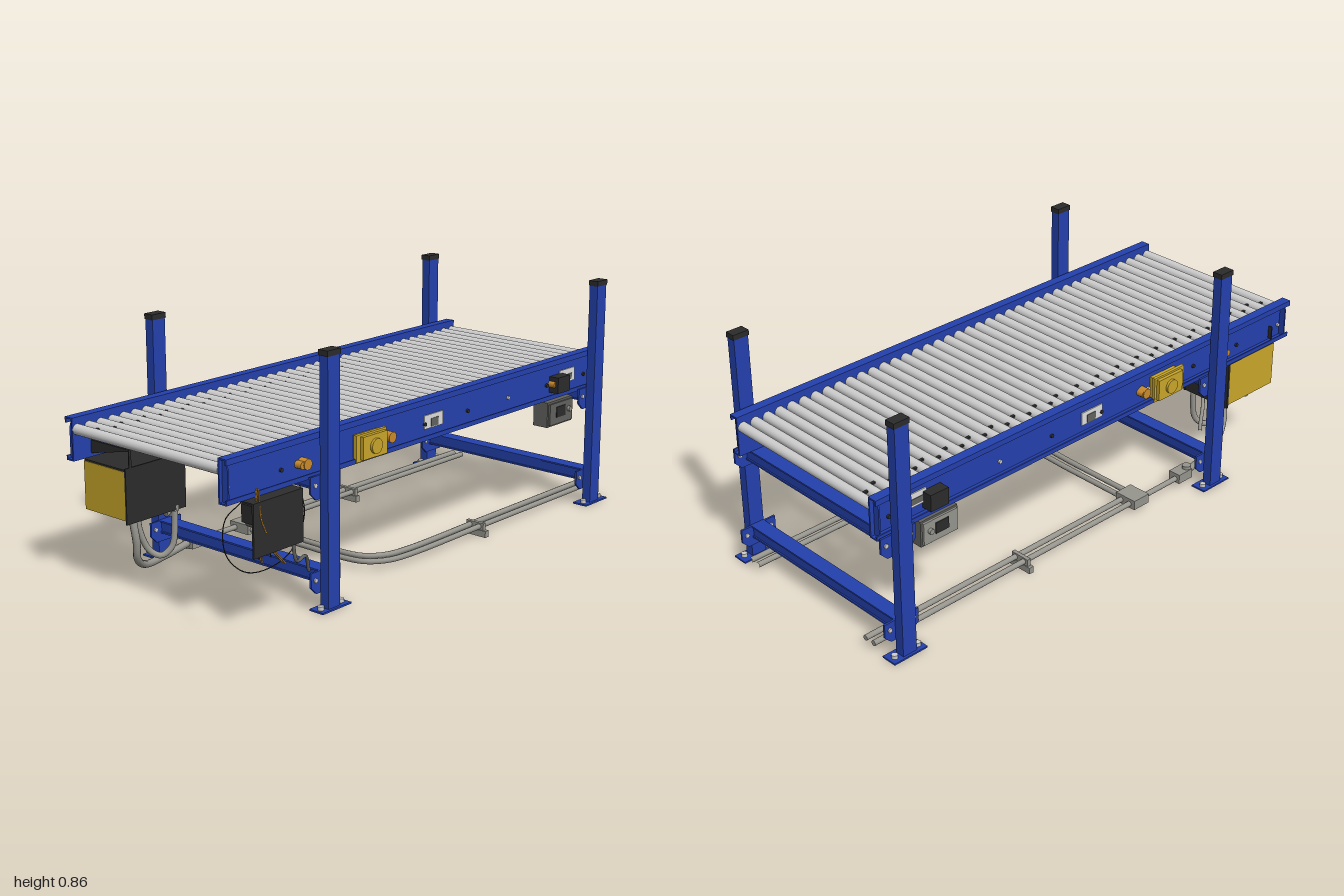
import * as THREE from 'three';

const mat = (name, color) => {
  const m = new THREE.MeshStandardMaterial({ color });
  m.name = name;
  return m;
};

export function createModel() {
  const root = new THREE.Group();
  root.name = 'rollerConveyor';
  const blue = mat('frameBlue', 0x2441ad);
  const steel = mat('rollerSteel', 0xcfcfcf);
  const orange = mat('driveOrange', 0xcb8b2c);
  const yellow = mat('coverYellow', 0xc9a62a);
  const black = mat('black', 0x2b2b2b);
  const grey = mat('conduitGrey', 0x96958e);
  const dark = mat('boxGrey', 0x62625f);
  const white = mat('labelWhite', 0xdedede);
  const openBlack = mat('panelBlack', 0x2d2d2d);
  openBlack.side = THREE.DoubleSide;

  const add = (name, geo, m, x = 0, y = 0, z = 0) => {
    const mesh = new THREE.Mesh(geo, m);
    mesh.name = name;
    mesh.position.set(x, y, z);
    root.add(mesh);
    return mesh;
  };
  // Box given by its min and max corners
  const box = (name, m, x0, x1, y0, y1, z0, z1) =>
    add(name, new THREE.BoxGeometry(Math.abs(x1 - x0), y1 - y0, z1 - z0), m,
      (x0 + x1) / 2, (y0 + y1) / 2, (z0 + z1) / 2);
  const rod = (name, m, r, len, axis, x, y, z, seg = 16) => {
    const g = new THREE.CylinderGeometry(r, r, len, seg);
    if (axis === 'x') g.rotateZ(Math.PI / 2);
    if (axis === 'z') g.rotateX(Math.PI / 2);
    return add(name, g, m, x, y, z);
  };
  const tube = (name, m, r, pts, seg = 40) => {
    const curve = new THREE.CatmullRomCurve3(pts.map(p => new THREE.Vector3(...p)), false, 'centripetal');
    return add(name, new THREE.TubeGeometry(curve, seg, r, r > 0.005 ? 10 : 5), m);
  };
  const extrude = (name, m, pts, depth, z) => {
    const s = new THREE.Shape(pts.map(p => new THREE.Vector2(...p)));
    return add(name, new THREE.ExtrudeGeometry(s, { depth, bevelEnabled: false }), m, 0, 0, z);
  };

  // Carrying rollers with drive bands between neighbours
  const pitch = 0.0498, count = 40;
  for (let i = 0; i < count; i++) {
    const z = -0.98 + i * pitch;
    rod('roller', steel, 0.0185, 0.664, 'x', 0, 0.548, z, 20);
    if (i < count - 1) {
      const x = i % 2 ? -0.24 : -0.265;
      box('driveBand', black, x - 0.005, x + 0.005, 0.551, 0.557, z + 0.012, z + pitch - 0.012);
      box('driveBand', black, x - 0.005, x + 0.005, 0.531, 0.537, z + 0.012, z + pitch - 0.012);
    }
  }
  // Orange drive rollers under the bed
  for (const z of [-0.755, 0.21, 0.62]) rod('driveRoller', orange, 0.0185, 0.74, 'x', 0, 0.492, z, 20);

  for (const s of [-1, 1]) {
    // Side rail: outward facing channel with a hooked top lip
    const mir = pts => pts.map(([x, y]) => [s * x, y]);
    extrude('sideRail', blue, mir([
      [0.334, 0.442], [0.368, 0.442], [0.368, 0.458], [0.363, 0.458], [0.363, 0.447], [0.34, 0.447],
      [0.34, 0.583], [0.364, 0.583], [0.364, 0.568], [0.37, 0.568], [0.37, 0.588], [0.334, 0.588]]), 1.98, -1);
    for (const z of [-0.985, 0.962]) extrude('railEndPlate', blue, mir([
      [0.336, 0.445], [0.355, 0.445], [0.363, 0.456], [0.363, 0.55], [0.352, 0.583], [0.336, 0.583]]), 0.006, z);

    // Rail bolts, sensors and labels
    for (let i = 0; i < 9; i++) rod('railBolt', i % 3 ? black : steel, 0.007, 0.008, 'x', s * 0.343, 0.49, 0.95 - i * 0.235, 8);
    for (const z of [0.64, 0.2, -0.72]) rod('sensor', orange, 0.013, 0.028, 'x', s * 0.353, 0.492, z, 10);
    box('label', white, s * 0.34, s * 0.344, 0.472, 0.52, -0.085, 0.015);
    box('labelPanel', dark, s * 0.34, s * 0.346, 0.476, 0.505, -0.06, -0.02);
    box('label', white, s * 0.34, s * 0.344, 0.48, 0.53, -0.87, -0.775);
    box('labelPanel', dark, s * 0.34, s * 0.346, 0.488, 0.51, -0.85, -0.79);
    box('railModule', black, s * 0.34, s * 0.38, 0.46, 0.52, -0.79, -0.715);

    // Yellow bearing cover on the rail
    box('bearingCover', yellow, s * 0.34, s * 0.385, 0.452, 0.53, 0.255, 0.375);
    box('bearingCoverRim', yellow, s * 0.36, s * 0.372, 0.445, 0.537, 0.245, 0.395);
    rod('bearingCap', yellow, 0.026, 0.016, 'x', s * 0.386, 0.49, 0.315, 16);

    for (const z of [0.55, -0.925]) {
      // Post with foot plate, anchors and cap
      box('post', blue, s * 0.38, s * 0.415, 0.005, 0.842, z - 0.028, z + 0.028);
      box('postCap', black, s * 0.378, s * 0.417, 0.838, 0.857, z - 0.031, z + 0.031);
      box('footPlate', blue, s * 0.365, s * 0.424, 0, 0.006, z - 0.072, z + 0.065);
      for (const d of [-0.05, 0.046]) rod('anchorBolt', steel, 0.011, 0.016, 'y', s * 0.398, 0.011, z + d, 8);
      // Brackets that hold the cross beams and rail
      for (const [y0, y1] of [[0.37, 0.45], [0.055, 0.13]]) {
        const sh = new THREE.Shape();
        sh.moveTo(-0.07, y1); sh.lineTo(0.07, y1); sh.lineTo(0.07, y0 + 0.025);
        sh.lineTo(0.045, y0); sh.lineTo(-0.045, y0); sh.lineTo(-0.07, y0 + 0.025);
        const g = new THREE.ExtrudeGeometry(sh, { depth: 0.008, bevelEnabled: false });
        g.rotateY(Math.PI / 2);
        add('beamBracket', g, blue, s > 0 ? 0.371 : -0.379, 0, z);
        for (const d of [-0.05, 0.05]) rod('bracketBolt', steel, 0.008, 0.018, 'x', s * 0.375, (y0 + y1) / 2 + 0.01, z + d, 8);
      }
    }

    // Switch box under the rear of the rail
    const sw = s > 0 ? dark : grey;
    box('switchBox', dark, s * 0.305, s * 0.367, 0.338, 0.432, -0.825, -0.67);
    box('switchBoxCover', sw, s * 0.367, s * 0.375, 0.345, 0.425, -0.818, -0.677);
    box('switchPlate', black, s * 0.375, s * 0.378, 0.37, 0.41, -0.77, -0.715);
    rod('switchKnob', grey, 0.01, 0.012, 'x', s * 0.38, 0.39, -0.792, 10);

    // Floor strut clamping the conduits
    box('conduitStrut', grey, s * 0.26, s * 0.357, 0, 0.024, -0.342, -0.322);
    box('conduitClamp', grey, s * 0.268, s * 0.345, 0.024, 0.05, -0.339, -0.325);
  }

  // Cross beams
  for (const z of [0.55, -0.925]) for (const [y0, y1] of [[0.395, 0.44], [0.085, 0.13]]) {
    box('crossBeam', blue, -0.38, 0.38, y0, y1, z - 0.022, z + 0.022);
    for (const y of [y0, y1 - 0.006]) box('beamFlange', blue, -0.379, 0.379, y, y + 0.006, z - 0.027, z + 0.027);
  }

  // Floor conduits: one straight pair, one pair that crosses over
  for (const x of [-0.325, -0.285]) rod('floorConduit', grey, 0.01, x < -0.3 ? 1.5 : 1.22, 'z', x, 0.036, x < -0.3 ? -0.25 : -0.39, 12);
  for (const [x, z] of [[0.325, 0.24], [0.285, 0.2]]) tube('crossoverConduit', grey, 0.01, [
    [x, 0.036, -1], [x, 0.036, -0.4], [x, 0.036, z - 0.16], [x - 0.015, 0.036, z - 0.08],
    [x - 0.06, 0.036, z - 0.02], [x - 0.13, 0.036, z], [0, 0.036, z], [-0.28, 0.036, z]], 70);
  box('junctionBox', grey, -0.35, -0.26, 0.02, 0.056, 0.185, 0.26);
  box('conduitFitting', grey, -0.345, -0.295, 0.022, 0.058, 0.43, 0.5);
  rod('fittingCap', grey, 0.017, 0.05, 'y', -0.325, 0.045, 0.49, 12);

  // Flexible hoses to the control cabinet
  tube('hose', grey, 0.013, [[-0.325, 0.04, 0.48], [-0.29, 0.036, 0.64], [-0.25, 0.05, 0.76],
    [-0.215, 0.095, 0.825], [-0.2, 0.16, 0.84], [-0.21, 0.26, 0.85]]);
  tube('hose', grey, 0.011, [[-0.235, 0.27, 0.8], [-0.23, 0.19, 0.8], [-0.215, 0.11, 0.77],
    [-0.19, 0.09, 0.74], [-0.17, 0.12, 0.71], [-0.165, 0.19, 0.7], [-0.165, 0.27, 0.7]]);
  tube('hose', grey, 0.007, [[-0.2, 0.265, 0.71], [-0.23, 0.21, 0.68], [-0.29, 0.195, 0.6], [-0.33, 0.19, 0.55]]);
  for (const [x, z] of [[-0.21, 0.85], [-0.235, 0.8], [-0.165, 0.7], [-0.325, 0.8]])
    rod('hoseGland', grey, 0.016, 0.02, 'y', x, 0.255, z, 10);

  // Control cabinet with black mounting panels
  box('controlCabinet', yellow, -0.355, -0.156, 0.262, 0.428, 0.672, 0.92);
  box('cabinetSidePanel', black, -0.156, -0.15, 0.25, 0.44, 0.66, 0.922);
  box('cabinetRearPanel', black, -0.357, -0.15, 0.25, 0.44, 0.664, 0.672);
  box('cabinetTopPanel', black, -0.355, -0.15, 0.428, 0.434, 0.664, 0.918);
  extrude('cabinetHanger', black, [[-0.355, 0.45], [-0.15, 0.495], [-0.15, 0.5], [-0.355, 0.5]], 0.005, 0.9);
  box('cabinetStrap', black, -0.154, -0.15, 0.43, 0.5, 0.895, 0.905);

  // Open junction enclosure on the other side
  box('enclosureSide', openBlack, 0.405, 0.412, 0.265, 0.44, 0.69, 0.91);
  box('enclosureLid', openBlack, 0.285, 0.412, 0.436, 0.441, 0.69, 0.91);
  box('enclosureBack', openBlack, 0.3, 0.405, 0.35, 0.436, 0.69, 0.696);
  box('relayBlock', black, 0.31, 0.37, 0.35, 0.41, 0.74, 0.86);
  for (const y of [0.335, 0.395]) rod('cableGland', dark, 0.02, 0.03, 'x', 0.3, y, 0.8, 12);

  // Loose wiring
  for (let i = 0; i < 7; i++) {
    const x = 0.325 + i * 0.009, m = [black, grey, orange][i % 3];
    tube('wire', m, 0.0022, [[x, 0.4, 0.78 + i * 0.012], [x + 0.012, 0.34, 0.8 + i * 0.014],
      [x - 0.008, 0.27, 0.76 + i * 0.016], [x + 0.004, 0.21 + (i % 4) * 0.017, 0.75 + i * 0.018]], 16);
  }
  for (const d of [0, 0.012]) tube('wire', orange, 0.003, [[0.36, 0.46, 0.84], [0.385 + d, 0.47, 0.87],
    [0.4 + d, 0.4, 0.88], [0.39 + d, 0.28, 0.82], [0.37 + d, 0.2, 0.74]], 24);
  tube('railCable', dark, 0.006, [[0.35, 0.13, 0.6], [0.365, 0.19, 0.63], [0.39, 0.2, 0.7], [0.392, 0.3, 0.72]], 20);
  tube('wireLoop', black, 0.0018, [[0.37, 0.44, 0.92], [0.37, 0.4, 0.99], [0.375, 0.3, 0.996], [0.375, 0.22, 0.92],
    [0.375, 0.2, 0.82], [0.37, 0.23, 0.7], [0.37, 0.33, 0.64], [0.36, 0.43, 0.65]], 40);

  return root;
}
